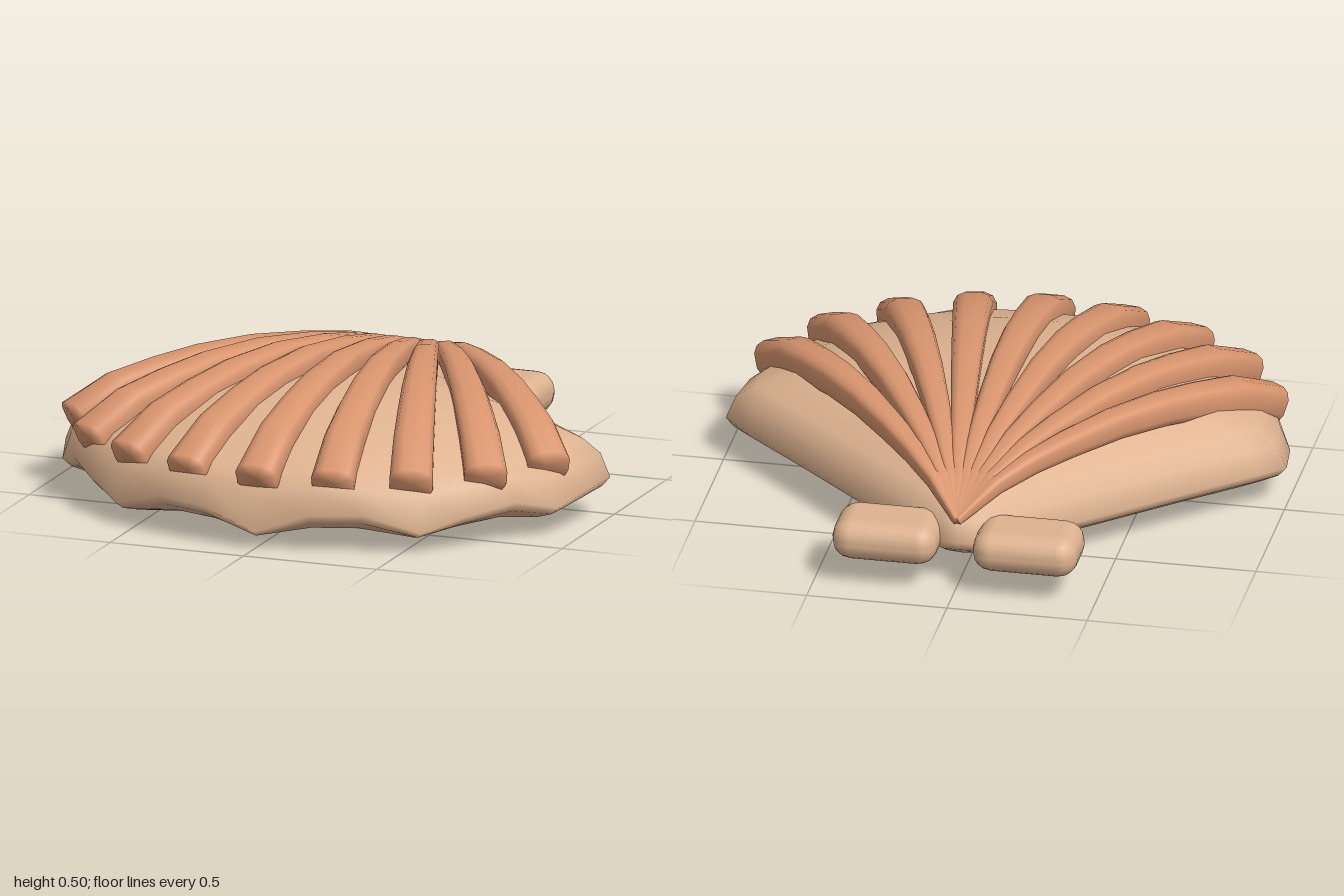
import * as THREE from 'three';
import { RoundedBoxGeometry } from 'three/addons/geometries/RoundedBoxGeometry.js';

const sand = new THREE.MeshStandardMaterial({ name: 'sand', color: 0xdeb390 });
const coral = new THREE.MeshStandardMaterial({ name: 'coral', color: 0xd9956f });

// Skin a series of closed rings (arrays of Vector3) with smooth normals
function loft(rings) {
  const n = rings[0].length;
  const index = [];
  for (let i = 0; i < rings.length - 1; i++) {
    for (let j = 0; j < n; j++) {
      const k = (j + 1) % n;
      const a = i * n + j, b = a + n, c = (i + 1) * n + k, d = i * n + k;
      index.push(a, b, c, a, c, d);
    }
  }
  const g = new THREE.BufferGeometry().setFromPoints(rings.flat());
  g.setIndex(index);
  g.computeVertexNormals();
  return g;
}

// Shell body: scaled copies of a fan outline, domed above and shallow below
function shellBody() {
  // x, z and rim height, from the front centre round to the hinge
  const half = [
    [0, 0.905, 0.068], [0.2, 0.89, 0.142], [0.38, 0.845, 0.15], [0.57, 0.76, 0.082],
    [0.7, 0.66, 0.13], [0.83, 0.5, 0.155], [0.93, 0.36, 0.11], [0.98, 0.2, 0.14],
    [1, 0.04, 0.15], [0.92, -0.035, 0.15], [0.7, -0.23, 0.15], [0.45, -0.46, 0.15],
    [0.22, -0.68, 0.16], [0.06, -0.815, 0.17], [0, -0.835, 0.18],
  ];
  const mirrored = half.slice(1, -1).reverse().map(([x, z, y]) => [-x, z, y]);
  const outline = [...half, ...mirrored];
  // scale, height and how strongly the wavy rim is followed
  const profile = [
    [0.001, 0.445, 0], [0.25, 0.44, 0], [0.5, 0.41, 0], [0.75, 0.34, 0],
    [0.9, 0.28, 0.25], [0.965, 0.23, 0.45], [1, 0.14, 1], [0.97, 0.108, 0.8],
    [0.9, 0.078, 0.52], [0.7, 0.043, 0.32], [0.4, 0.019, 0.14], [0.001, 0.006, 0],
  ];
  const midZ = 0.1;
  return loft(profile.map(([s, y, w]) => outline.map(([x, z, rim]) =>
    new THREE.Vector3(x * s, Math.max(0.005, y + (rim - 0.14) * w), midZ + (z - midZ) * s))));
}

// Rib: a widening rounded bar arching from the hinge to the rim
function rib(angle, length) {
  const spine = [
    [0, 0.263], [0.12, 0.365], [0.235, 0.418], [0.35, 0.447], [0.5, 0.463],
    [0.65, 0.445], [0.765, 0.408], [0.88, 0.357], [1, 0.253],
  ];
  const drop = 0.055 * (angle / 0.65) ** 2;
  const side = new THREE.Vector3(Math.cos(angle), 0, -Math.sin(angle));
  const centres = spine.map(([t, y]) => new THREE.Vector3(
    Math.sin(angle) * length * t,
    y - drop * Math.sin(Math.PI * t),
    -0.82 + Math.cos(angle) * length * t));
  const sides = 12;
  const round = (v) => Math.sign(v) * Math.abs(v) ** 0.7;
  const rings = centres.map((c, i) => {
    const tangent = centres[Math.min(i + 1, centres.length - 1)].clone()
      .sub(centres[Math.max(i - 1, 0)]).normalize();
    const up = new THREE.Vector3().crossVectors(tangent, side);
    const t = spine[i][0];
    const r = 0.015 + 0.062 * t ** 0.68;
    return Array.from({ length: sides }, (_, j) => {
      const q = -(j + 0.5) / sides * Math.PI * 2;
      // the underside is deeper where the rib sinks into the body
      const height = Math.sin(q) > 0 ? 0.86 : 1.4 - 0.5 * t;
      return c.clone()
        .addScaledVector(side, round(Math.cos(q)) * r)
        .addScaledVector(up, round(Math.sin(q)) * r * height);
    });
  });
  const point = (c) => Array.from({ length: sides }, () => c.clone());
  return loft([point(centres[0]), ...rings, point(centres.at(-1))]);
}

export function createModel() {
  const model = new THREE.Group();
  model.name = 'scallopShell';
  const add = (name, geometry, material) => {
    const mesh = new THREE.Mesh(geometry, material);
    mesh.name = name;
    model.add(mesh);
    return mesh;
  };

  add('shellBody', shellBody(), sand);

  // Nine ribs fanned out from the hinge
  const lengths = [1.695, 1.685, 1.65, 1.58, 1.46];
  for (let i = -4; i <= 4; i++) {
    add(`rib${i + 5}`, rib(i * 0.163, lengths[Math.abs(i)]), coral);
  }

  // Hinge ears at the back
  for (const s of [1, -1]) {
    const ear = add(s > 0 ? 'leftEar' : 'rightEar',
      new RoundedBoxGeometry(0.375, 0.15, 0.25, 2, 0.07), sand);
    ear.position.set(s * 0.25, 0.175, -0.795);
  }
  return model;
}
